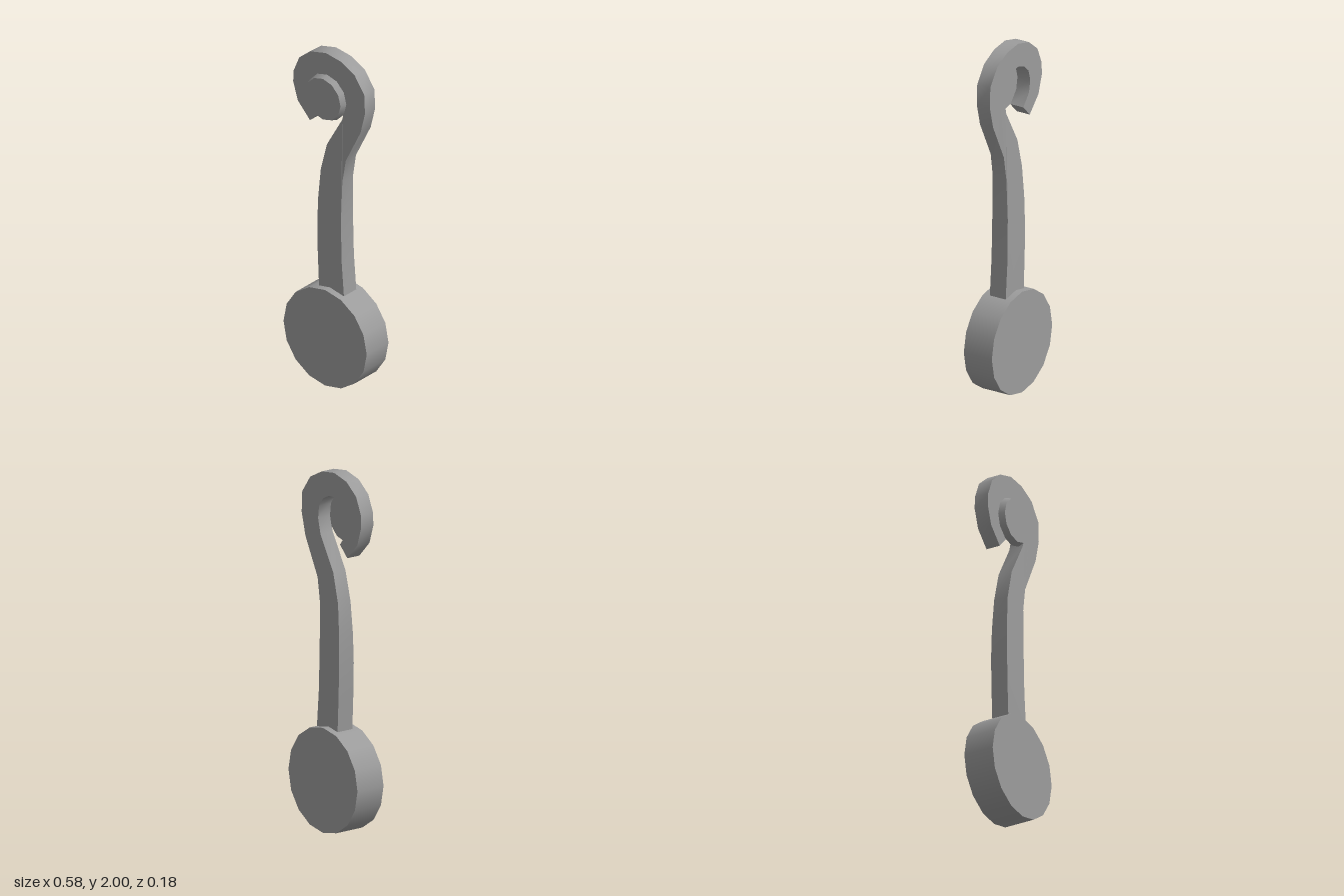
import * as THREE from 'three';
import { toCreasedNormals } from 'three/addons/utils/BufferGeometryUtils.js';

const material = new THREE.MeshStandardMaterial({ color: 0x9d9d9d });

// Short cylinder whose axis points to the front
function disc(name, frontRadius, backRadius, depth, sides, x, y, z) {
  const geometry = new THREE.CylinderGeometry(frontRadius, backRadius, depth, sides);
  geometry.rotateX(Math.PI / 2);
  const mesh = new THREE.Mesh(geometry, material);
  mesh.name = name;
  mesh.position.set(x, y, z);
  return mesh;
}

// Tapering stem that curls into a hook: outer edge upwards, inner edge back down
function hookedStem() {
  const outer = [
    [0.1, 0.55], [0.082, 0.78], [0.077, 1.02], [0.082, 1.255], [0.104, 1.39], [0.208, 1.6],
    [0.239, 1.725], [0.234, 1.84], [0.167, 1.935], [0.07, 1.985], [-0.035, 2.0],
    [-0.14, 1.973], [-0.222, 1.907], [-0.261, 1.815], [-0.265, 1.745], [-0.232, 1.64], [-0.147, 1.55],
  ];
  const inner = [
    [-0.075, 0.55], [-0.085, 0.78], [-0.088, 0.94], [-0.085, 1.1], [-0.07, 1.28], [-0.028, 1.445],
    [0.08, 1.635], [0.1, 1.72], [0.092, 1.79], [0.055, 1.84], [0.01, 1.862], [-0.04, 1.866],
    [-0.09, 1.85], [-0.135, 1.81], [-0.152, 1.75], [-0.14, 1.68], [-0.085, 1.613],
  ];
  const outline = [...outer, ...inner.reverse()].map(([x, y]) => new THREE.Vector2(x, y));
  const geometry = new THREE.ExtrudeGeometry(new THREE.Shape(outline), { depth: 2, bevelEnabled: false });
  geometry.translate(0, 0, -1);

  // Thin the stem slightly towards the hook
  const p = geometry.attributes.position;
  for (let i = 0; i < p.count; i++) {
    const t = THREE.MathUtils.smoothstep(p.getY(i), 0.9, 1.39);
    p.setZ(i, p.getZ(i) * THREE.MathUtils.lerp(0.051, 0.042, t));
  }
  const mesh = new THREE.Mesh(toCreasedNormals(geometry, 0.6), material);
  mesh.name = 'hookedStem';
  return mesh;
}

export function createModel() {
  const group = new THREE.Group();
  group.name = 'hookWithDiscBase';
  group.add(disc('baseDisc', 0.292, 0.292, 0.18, 16, 0, 0.292, 0));
  group.add(hookedStem());
  // Bevelled button covering the eye of the hook
  group.add(disc('button', 0.124, 0.136, 0.037, 12, -0.027, 1.736, 0.0585));
  return group;
}
